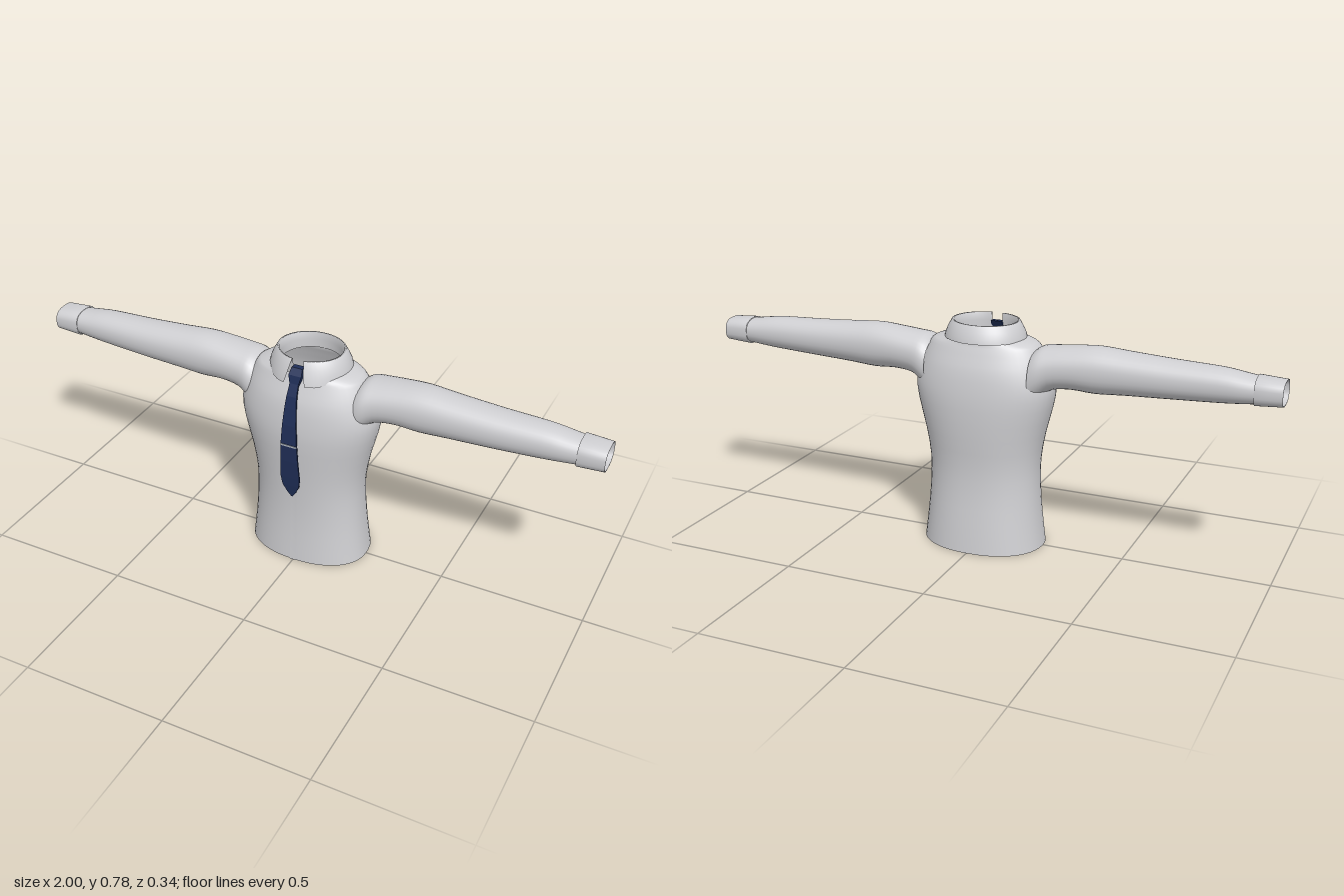
import * as THREE from 'three';

const mat = (name, color) => {
  const m = new THREE.MeshStandardMaterial({ color, side: THREE.DoubleSide });
  m.name = name;
  return m;
};

// Skin a list of rings (arrays of Vector3); rings may be closed or open.
function loft(rings, closed = true, flat = false) {
  const n = rings[0].length, pos = [], idx = [];
  rings.forEach(r => r.forEach(p => pos.push(p.x, p.y, p.z)));
  for (let i = 0; i < rings.length - 1; i++) {
    for (let j = 0; j < (closed ? n : n - 1); j++) {
      const k = (j + 1) % n, a = i * n + j, b = i * n + k, c = a + n, d = b + n;
      idx.push(a, b, c, b, d, c);
    }
  }
  let g = new THREE.BufferGeometry();
  g.setAttribute('position', new THREE.Float32BufferAttribute(pos, 3));
  g.setIndex(idx);
  if (flat) g = g.toNonIndexed();
  g.computeVertexNormals();
  return g;
}

// Smoothly interpolate rows of numbers, with extra steps between the rows.
function refine(rows, steps = 3) {
  const out = [];
  const h = (a, b, c, d, t) => {
    const m1 = (c - a) / 2, m2 = (d - b) / 2, t2 = t * t, t3 = t2 * t;
    return b * (2 * t3 - 3 * t2 + 1) + m1 * (t3 - 2 * t2 + t) + c * (3 * t2 - 2 * t3) + m2 * (t3 - t2);
  };
  for (let i = 0; i < rows.length - 1; i++) {
    const a = rows[Math.max(i - 1, 0)], b = rows[i], c = rows[i + 1], d = rows[Math.min(i + 2, rows.length - 1)];
    for (let s = 0; s < steps; s++) out.push(b.map((_, k) => h(a[k], b[k], c[k], d[k], s / steps)));
  }
  out.push(rows[rows.length - 1]);
  return out;
}

const sp = (v, e) => Math.sign(v) * Math.pow(Math.abs(v), e);
const ring = (n, f) => Array.from({ length: n }, (_, j) => f(j / n * Math.PI * 2));

// Torso sections: height, half width, front z, back z
const torsoRows = refine([
  [0, 0.215, 0.147, -0.17], [0.1, 0.203, 0.14, -0.159], [0.2, 0.195, 0.137, -0.147],
  [0.3, 0.194, 0.14, -0.143], [0.4, 0.21, 0.147, -0.15], [0.5, 0.236, 0.154, -0.153],
  [0.57, 0.245, 0.15, -0.148], [0.63, 0.228, 0.14, -0.137], [0.67, 0.212, 0.125, -0.122],
  [0.7, 0.195, 0.112, -0.11], [0.716, 0.178, 0.106, -0.103], [0.732, 0.125, 0.102, -0.1]], 2);
const torsoPoint = ([y, w, f, b], a) => {
  const c = Math.cos(a);
  return new THREE.Vector3(w * sp(Math.sin(a), 0.9), y, sp(c, 0.9) * (c > 0 ? f : -b));
};

// Sleeve sections: distance out, top, bottom, front z, back z
const sleeveRows = refine([
  [0.185, 0.7, 0.52, 0.085, -0.1], [0.21, 0.715, 0.545, 0.086, -0.1], [0.25, 0.72, 0.574, 0.078, -0.094],
  [0.32, 0.727, 0.583, 0.073, -0.09], [0.4, 0.733, 0.578, 0.071, -0.086], [0.5, 0.726, 0.584, 0.068, -0.08],
  [0.65, 0.717, 0.591, 0.063, -0.074], [0.8, 0.711, 0.599, 0.055, -0.069], [0.87, 0.702, 0.605, 0.05, -0.066],
  [0.92, 0.695, 0.61, 0.045, -0.062]]);
const cuffRows = [
  [0.912, 0.695, 0.61, 0.044, -0.06], [0.912, 0.699, 0.606, 0.049, -0.066], [0.955, 0.696, 0.609, 0.048, -0.065],
  [1, 0.693, 0.612, 0.047, -0.063], [1, 0.69, 0.615, 0.044, -0.06], [0.93, 0.69, 0.615, 0.044, -0.06]];
const sleeveRing = (side, e) => ([x, t, b, f, k]) => ring(32, a => new THREE.Vector3(
  side * x,
  (t + b) / 2 + (t - b) / 2 * sp(Math.cos(a), e),
  (f + k) / 2 + side * (f - k) / 2 * sp(Math.sin(a), e)));

// Collar profile: height, half width, half depth, half angle of the front gap
const collarRows = [
  [0.725, 0.14, 0.126, 0.27], [0.742, 0.136, 0.122, 0.23], [0.76, 0.128, 0.113, 0.2], [0.782, 0.116, 0.101, 0.18],
  [0.782, 0.108, 0.097, 0.18], [0.755, 0.103, 0.097, 0.18], [0.725, 0.104, 0.098, 0.18]];
function collarRing([y, w, d, gap], i) {
  return Array.from({ length: 49 }, (_, j) => {
    const a = gap + (Math.PI * 2 - 2 * gap) * j / 48;
    // the lower edge dips into two points at the front
    const front = THREE.MathUtils.smoothstep(Math.cos(a), 0.45, 0.9);
    const dip = [0.02, 0.012, 0.003][i] || 0;
    return new THREE.Vector3(w * Math.sin(a), y - dip * front, d * Math.cos(a) + dip * front * 0.35);
  });
}

// Tie sections: height, half width, z of the outer face, thickness
const tieRows = [
  [0.755, 0.019, 0.105, 0.02], [0.735, 0.023, 0.122, 0.025], [0.708, 0.016, 0.128, 0.018], [0.7, 0.016, 0.132, 0.007],
  [0.67, 0.018, 0.146, 0.007], [0.63, 0.021, 0.156, 0.006], [0.57, 0.025, 0.166, 0.006], [0.5, 0.029, 0.171, 0.006],
  [0.43, 0.032, 0.169, 0.006], [0.36, 0.035, 0.163, 0.006], [0.325, 0.03, 0.159, 0.006], [0.295, 0.015, 0.154, 0.006],
  [0.277, 0.002, 0.151, 0.006]];
const tieRing = ([y, w, z, t]) => [[w, z], [-w, z], [-w, z - t], [w, z - t]].map(([x, d]) => new THREE.Vector3(x, y, d));

export function createModel() {
  const cloth = mat('light grey cloth', 0xcfcfd2);
  const navy = mat('navy silk', 0x202f58);
  const metal = mat('silver metal', 0xb4bac4);
  const model = new THREE.Group();
  model.name = 'shirtWithTie';
  const add = (name, geometry, material, parent = model) => {
    const m = new THREE.Mesh(geometry, material);
    m.name = name;
    parent.add(m);
    return m;
  };

  // Torso, open at hem and neck
  add('torso', loft(torsoRows.map(r => ring(48, a => torsoPoint(r, a)))), cloth);

  // Button placket lying on the chest
  const placket = torsoRows.filter(r => r[0] < 0.715).map(r => [-0.012, 0, 0.012].map(x =>
    new THREE.Vector3(x, r[0], r[2] + 0.002)));
  add('placket', loft(placket, false), cloth);

  // Sleeves and cuffs
  for (const [side, label] of [[1, 'left'], [-1, 'right']]) {
    add(label + 'Sleeve', loft(sleeveRows.map(sleeveRing(side, 0.9))), cloth);
    add(label + 'Cuff', loft(cuffRows.map(sleeveRing(side, 0.75))), cloth);
  }

  // Folded collar with its inner stand
  add('collar', loft(collarRows.map(collarRing), false), cloth);

  // Tie with knot and clip
  const tie = new THREE.Group();
  tie.name = 'tie';
  model.add(tie);
  const end = ([y, , z, t]) => [y, 0.0005, z, t];
  const rows = [end(tieRows[0]), ...tieRows, end(tieRows[tieRows.length - 1])];
  add('tieBlade', loft(rows.reverse().map(tieRing), true, true), navy, tie);
  add('tieClip', new THREE.BoxGeometry(0.058, 0.006, 0.008), metal, tie).position.set(0, 0.495, 0.169);

  return model;
}
